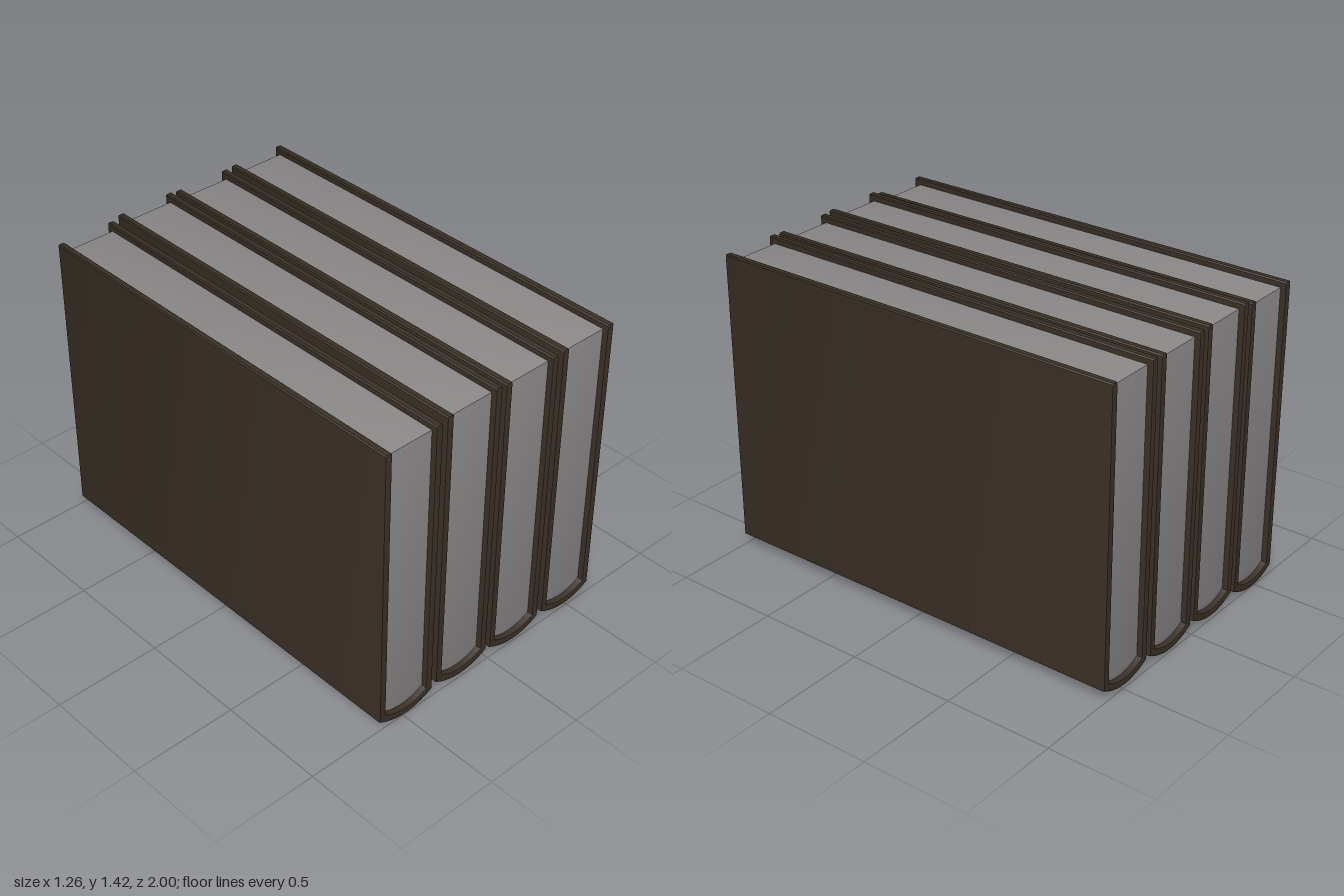
import * as THREE from 'three';
import { toCreasedNormals } from 'three/addons/utils/BufferGeometryUtils.js';

const WIDTH = 0.296, HEIGHT = 1.404, BOARD = 0.032;

// Extrude a cross-section along z, centred, with small rounded edges kept inside the outline
function extrude(shape, length, bevel) {
  const geo = new THREE.ExtrudeGeometry(shape, {
    depth: length - 2 * bevel, curveSegments: 16,
    bevelEnabled: true, bevelThickness: bevel, bevelSize: bevel,
    bevelOffset: -bevel, bevelSegments: 2,
  });
  geo.translate(0, 0, -length / 2 + bevel);
  return toCreasedNormals(geo, 0.7);
}

// U-shaped cover: two boards joined by a rounded spine at the bottom
function coverShape() {
  const o = WIDTH / 2, i = o - BOARD, r = 0.005;
  const s = new THREE.Shape();
  s.moveTo(-o, 0.042);
  s.quadraticCurveTo(0, -0.042, o, 0.042);
  s.lineTo(o, HEIGHT - r);
  s.lineTo(o - r, HEIGHT);
  s.lineTo(i + r, HEIGHT);
  s.lineTo(i, HEIGHT - r);
  s.lineTo(i, 0.064);
  s.quadraticCurveTo(0, 0, -i, 0.064);
  s.lineTo(-i, HEIGHT - r);
  s.lineTo(-i - r, HEIGHT);
  s.lineTo(-o + r, HEIGHT);
  s.lineTo(-o, HEIGHT - r);
  s.closePath();
  return s;
}

// Page block: flat fore-edge on top, curved against the spine
function pagesShape() {
  const i = WIDTH / 2 - BOARD + 0.006, top = HEIGHT - 0.028;
  const s = new THREE.Shape();
  s.moveTo(-i, 0.058);
  s.quadraticCurveTo(0, -0.004, i, 0.058);
  s.lineTo(i, top);
  s.lineTo(-i, top);
  s.closePath();
  return s;
}

export function createModel() {
  const coverMat = new THREE.MeshStandardMaterial({ color: 0x3a3026 });
  coverMat.name = 'dark brown cover';
  const pagesMat = new THREE.MeshStandardMaterial({ color: 0x8b8888 });
  pagesMat.name = 'grey paper';

  const coverGeo = extrude(coverShape(), 2, 0.005);
  const pagesGeo = extrude(pagesShape(), 1.945, 0.004);

  // Row of four books, each at a slightly different height: [x, y]
  const model = new THREE.Group();
  model.name = 'bookRow';
  [[-0.482, 0], [-0.161, 0.016], [0.159, 0.01], [0.482, 0.014]].forEach(([x, y], n) => {
    const book = new THREE.Group();
    book.name = `book${n + 1}`;
    const cover = new THREE.Mesh(coverGeo, coverMat);
    cover.name = 'cover';
    const pages = new THREE.Mesh(pagesGeo, pagesMat);
    pages.name = 'pages';
    book.add(cover, pages);
    book.position.set(x, y, 0);
    model.add(book);
  });
  return model;
}
